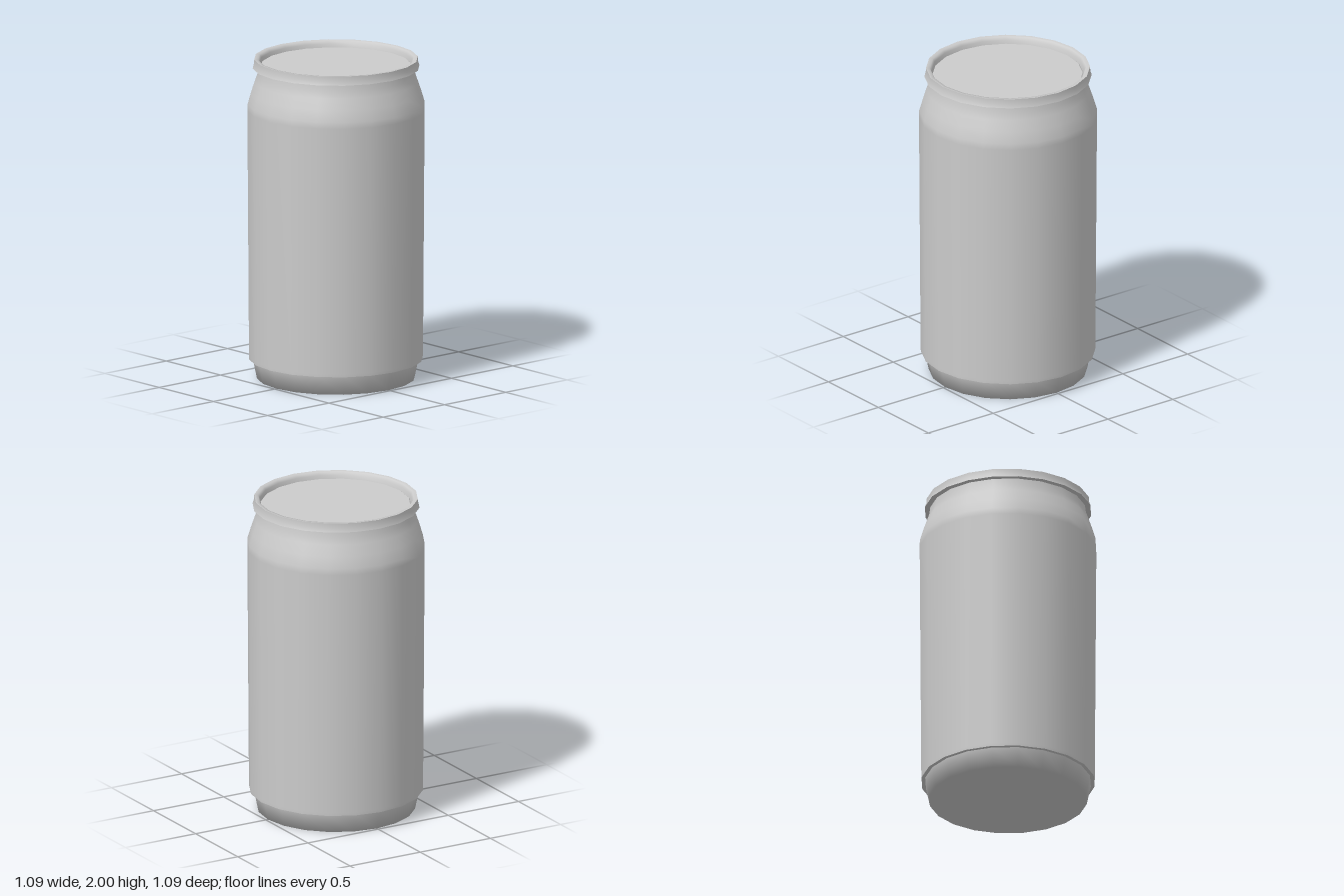
import * as THREE from 'three';

const SIDES = 20;
const material = new THREE.MeshStandardMaterial({ color: 0xcccccc });

// Revolves a [radius, height] profile around the can's axis.
function turned(name, profile) {
  const points = profile.map(([r, y]) => new THREE.Vector2(r, y));
  const mesh = new THREE.Mesh(new THREE.LatheGeometry(points, SIDES), material);
  mesh.name = name;
  return mesh;
}

export function createModel() {
  const can = new THREE.Group();
  can.name = 'can';
  can.add(
    // Flat base with a tapered foot
    turned('base', [[0, 0], [0.485, 0], [0.51, 0.12]]),
    // Small step where the wall overhangs the foot
    turned('baseStep', [[0.505, 0.12], [0.533, 0.12]]),
    // Slightly flaring wall, shoulder and neck
    turned('body', [
      [0.533, 0.12], [0.534, 0.14], [0.544, 1.68], [0.543, 1.72],
      [0.522, 1.79], [0.498, 1.86], [0.484, 1.9], [0.478, 1.95],
    ]),
    // Underside and outside of the seamed rim
    turned('rimUnderside', [[0.475, 1.945], [0.512, 1.945]]),
    turned('rim', [[0.512, 1.945], [0.503, 1.97], [0.502, 2]]),
    // Rounded rim top dropping to the recessed lid
    turned('rimTop', [[0.502, 2], [0.478, 1.998], [0.468, 1.98], [0.462, 1.955]]),
    turned('lidEdge', [[0.462, 1.955], [0.456, 1.96]]),
    turned('lid', [[0.456, 1.96], [0, 1.96]]),
  );
  return can;
}
